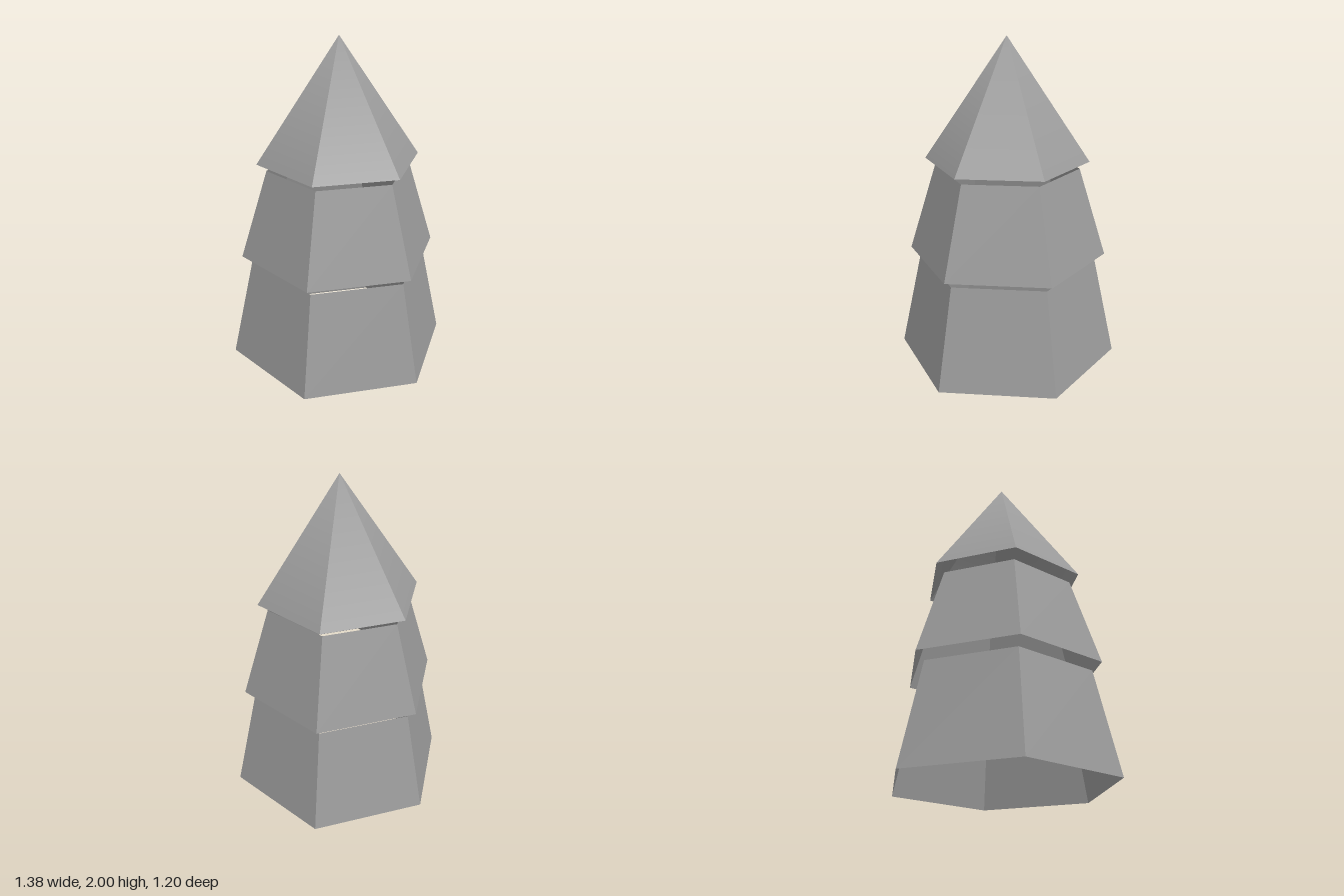
import * as THREE from 'three';

const material = new THREE.MeshStandardMaterial({ color: 0x9b9b9b, side: THREE.DoubleSide });

// Open six-sided skirt with corners on the x axis and hard side edges
function makeTier(name, bottomRadius, topRadius, y0, y1) {
  const geometry = new THREE.CylinderGeometry(
    topRadius, bottomRadius, y1 - y0, 6, 1, true, Math.PI / 2
  ).toNonIndexed();
  geometry.translate(0, (y0 + y1) / 2, 0);
  geometry.computeVertexNormals();
  const mesh = new THREE.Mesh(geometry, material);
  mesh.name = name;
  return mesh;
}

export function createModel() {
  const tree = new THREE.Group();
  tree.name = 'tree';

  // Two tapered skirts and the pointed top, separated by narrow gaps
  tree.add(makeTier('lowerFoliage', 0.69, 0.553, 0, 0.625));
  tree.add(makeTier('middleFoliage', 0.612, 0.442, 0.67, 1.217));
  const top = makeTier('topFoliage', 0.5, 0, 1.262, 2);
  tree.add(top);

  // Towards the tip the facet normals lean upward, so the creases fade out
  const { position, normal } = top.geometry.attributes;
  for (let i = 0; i < position.count; i++) {
    if (position.getY(i) > 1.99) {
      normal.setXYZ(i, normal.getX(i) * 0.42, 0.933, normal.getZ(i) * 0.42);
    }
  }
  return tree;
}
